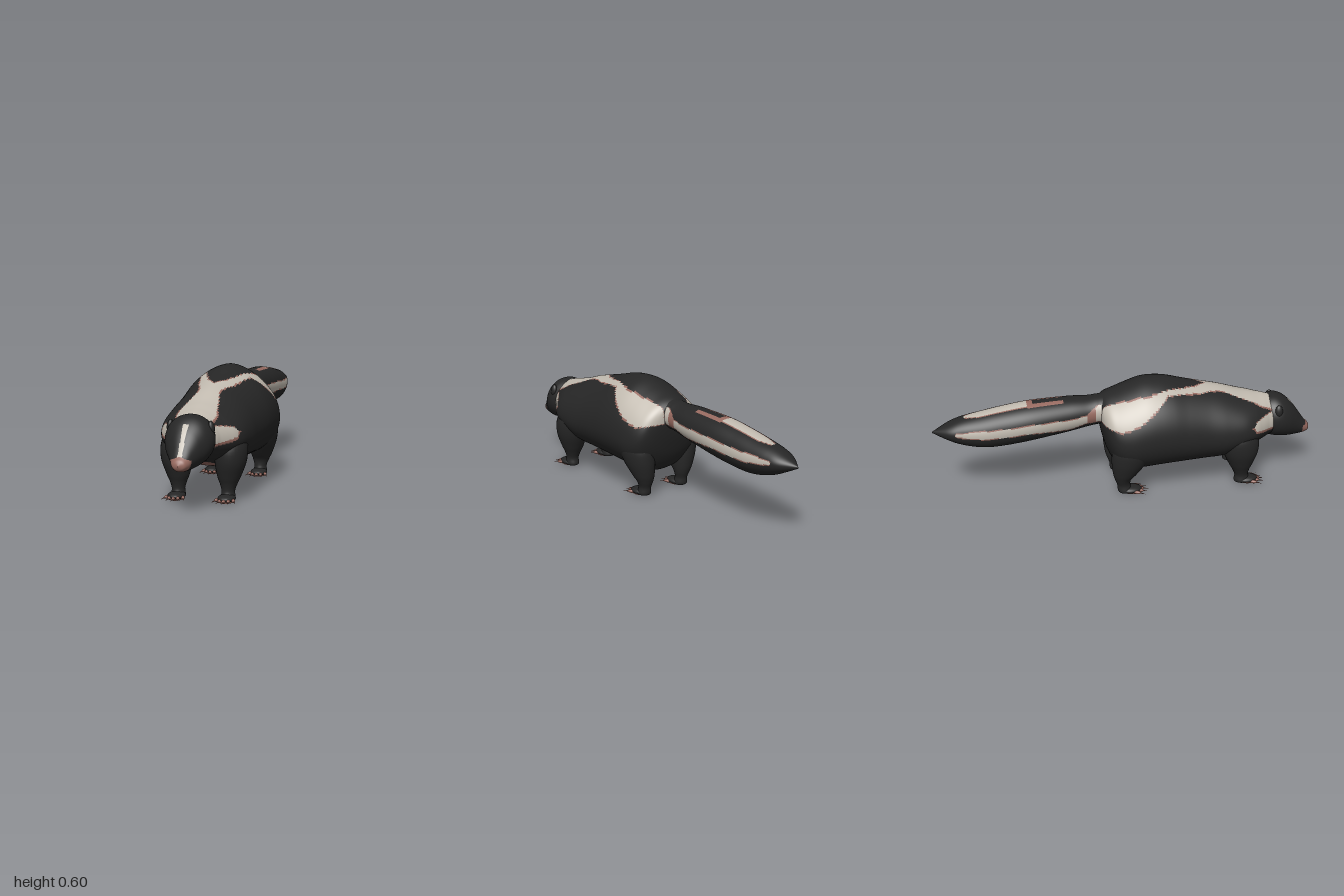
import * as THREE from 'three';

const mat = (name, color) => Object.assign(new THREE.MeshStandardMaterial({ color }), { name });

// Linear lookup in a short table of [key, value], keys descending
function lookup(table, k) {
  if (k >= table[0][0]) return table[0][1];
  for (let i = 1; i < table.length; i++) {
    const [k0, v0] = table[i - 1], [k1, v1] = table[i];
    if (k >= k1) return v1 + (v0 - v1) * (k - k1) / (k0 - k1);
  }
  return table[table.length - 1][1];
}

// Smooth interpolation between cross-section rows
function sample(rows, t) {
  const f = t * (rows.length - 1), i = Math.min(Math.floor(f), rows.length - 2), u = f - i;
  const at = (n) => rows[Math.max(0, Math.min(rows.length - 1, n))];
  return rows[0].map((_, c) => {
    const a = at(i - 1)[c], b = at(i)[c], d = at(i + 1)[c], e = at(i + 2)[c];
    return b + 0.5 * u * (d - a + u * (2 * a - 5 * b + 4 * d - e + u * (3 * (b - d) + e - a)));
  });
}

// Skin through cross-sections; colourOf(x, y, z) picks a material index per quad
function loft(rows, pointOf, rings, sides, colourOf = () => 0) {
  const pos = [], faces = [[], [], []];
  for (let i = 0; i <= rings; i++) {
    const row = sample(rows, i / rings);
    for (let j = 0; j < sides; j++) pos.push(...pointOf(row, (j / sides) * Math.PI * 2));
  }
  for (let i = 0; i < rings; i++) for (let j = 0; j < sides; j++) {
    const k = (j + 1) % sides;
    const q = [i * sides + j, i * sides + k, (i + 1) * sides + j, (i + 1) * sides + k];
    const mid = [0, 1, 2].map((c) => q.reduce((s, v) => s + pos[v * 3 + c], 0) / 4);
    faces[colourOf(...mid)].push(q[0], q[1], q[2], q[1], q[3], q[2]);
  }
  const g = new THREE.BufferGeometry();
  g.setAttribute('position', new THREE.Float32BufferAttribute(pos, 3));
  g.setIndex(faces.flat());
  let start = 0;
  faces.forEach((f, m) => { if (f.length) g.addGroup(start, f.length, m); start += f.length; });
  g.computeVertexNormals();
  return g;
}

// Section [z, top, bottom, halfWidth], listed front to back; taper narrows the upper half
const ringXY = (low, taper) => ([z, top, bottom, w], a) => {
  const s = Math.sin(a), c = Math.cos(a), cy = bottom + (top - bottom) * low;
  const sx = Math.sign(s) * Math.abs(s) ** (c > 0 ? taper : 1);
  return [Math.max(w, 0) * sx, cy + c * (c > 0 ? top - cy : cy - bottom), z];
};
// Section [y, x, z, radiusX, radiusZ]: level ring for the legs, listed upwards
const ringXZ = ([y, x, z, rx, rz], a) => [x + rx * Math.sin(a), y, z + rz * Math.cos(a)];

const BLACK = 0, WHITE = 1, PINK = 2;
const edge = (d, fringe) => (d < 0 ? WHITE : d < fringe ? PINK : BLACK);

// Body: white saddle that forks over the back, neck patches, pink belly spots
const saddleOuter = [[0.8, 0.08], [0.7, 0.095], [0.6, 0.075], [0.5, 0.052], [0.44, 0.06], [0.38, 0.085], [0.3, 0.102], [0.2, 0.13]];
const saddleInner = [[0.44, -0.02], [0.42, 0.0], [0.36, 0.045], [0.3, 0.07], [0.2, 0.1], [0.1, 0.132], [0, 0.118], [-0.08, 0.1], [-0.13, 0.085]];
const saddleLow = [[0.2, 0.545], [0.1, 0.472], [0.03, 0.422], [-0.06, 0.395], [-0.14, 0.41]];
const patchHalf = [[0.78, 0.042], [0.74, 0.038], [0.7, 0.032], [0.66, 0.022], [0.64, -0.01]];
const bellySpots = [[0.55, 0.065], [0.34, 0.06], [0.07, 0.07]];
function bodyColour(x, y, z) {
  const ax = Math.abs(x), fringe = Math.sin(z * 17 + 1) > -0.2 ? 0.008 : 0.003;
  if (y > 0.38) {
    const side = z > 0.2 ? ax - lookup(saddleOuter, z) : lookup(saddleLow, z) - y;
    const c = edge(Math.max(lookup(saddleInner, z) - ax, side), fringe);
    if (c !== BLACK) return c;
  }
  if (z > 0.63 && y > 0.27) {
    const dy = y - 0.348;
    return edge(Math.abs(dy) - lookup(patchHalf, z), dy < 0 ? 0.014 : 0.004);
  }
  const spot = bellySpots.some(([c, h]) => ((z - c) / h) ** 2 + (x / 0.047) ** 2 < 1);
  return y < 0.2 && spot ? PINK : BLACK;
}

// Head: pink snout and narrow forehead blaze
function headColour(x, y, z) {
  if (z > 0.953 && y < 0.282 - Math.abs(x) * 0.4) return PINK;
  return Math.abs(x) < 0.011 && z > 0.872 && y > 0.27 ? WHITE : BLACK;
}

// Tail: stripes along the top, the sides and the underside
const tailMid = [[-0.15, 0.45], [-0.22, 0.425], [-0.3, 0.405], [-0.5, 0.405], [-0.7, 0.388], [-0.9, 0.39]];
const tailHalf = [[-0.14, 0.045], [-0.18, 0.036], [-0.22, 0.02], [-0.3, 0.03], [-0.5, 0.022], [-0.75, 0.02], [-0.88, 0.008], [-0.9, -0.02]];
const topHalf = [[-0.5, 0.034], [-0.75, 0.034], [-0.83, 0.012], [-0.84, -0.01]];
const underHalf = [[-0.2, -0.01], [-0.26, 0.02], [-0.4, 0.036], [-0.75, 0.034], [-0.88, 0.012], [-0.9, -0.01]];
function tailColour(x, y, z) {
  const ax = Math.abs(x), mid = lookup(tailMid, z);
  if (y > mid + 0.045) {
    if (z < -0.52) return edge(ax - lookup(topHalf, z), 0.006);
    const fork = z < -0.33 && ax < 0.046 && (ax > 0.018 || z < -0.49);
    return fork ? PINK : BLACK;
  }
  if (y < mid - 0.035 && ax < 0.06) return edge(ax - lookup(underHalf, z), 0.008);
  if (ax < 0.03 || z > -0.13) return BLACK;
  const c = edge(Math.abs(y - mid) - lookup(tailHalf, z), 0.005);
  return c === WHITE && z > -0.21 && z < -0.17 ? PINK : c;
}

export function createModel() {
  const model = new THREE.Group();
  model.name = 'skunk';
  const black = mat('black fur', 0x262626), white = mat('white fur', 0xc2bbb0);
  const pink = mat('pink skin', 0x96695f), eyeMat = mat('eye black', 0x1a1a1a);
  const coat = [black, white, pink];
  const add = (name, geo, material, parent = model) => {
    const m = new THREE.Mesh(geo, material);
    m.name = name;
    parent.add(m);
    return m;
  };

  add('body', loft([
    [0.81, 0.4, 0.27, 0.0], [0.78, 0.438, 0.238, 0.098], [0.74, 0.453, 0.222, 0.13], [0.7, 0.462, 0.21, 0.16],
    [0.66, 0.472, 0.2, 0.187], [0.6, 0.487, 0.182, 0.21], [0.5, 0.52, 0.145, 0.22], [0.4, 0.545, 0.136, 0.222],
    [0.3, 0.57, 0.13, 0.23], [0.22, 0.592, 0.125, 0.237], [0.15, 0.601, 0.12, 0.24], [0.08, 0.597, 0.114, 0.24],
    [0, 0.57, 0.112, 0.235], [-0.06, 0.547, 0.145, 0.218], [-0.1, 0.533, 0.21, 0.188], [-0.125, 0.52, 0.29, 0.14],
    [-0.14, 0.505, 0.37, 0.08], [-0.145, 0.45, 0.44, 0],
  ], ringXY(0.43, 1.2), 160, 144, bodyColour), coat);

  add('head', loft([
    [1, 0.243, 0.238, 0], [0.99, 0.264, 0.22, 0.028], [0.97, 0.284, 0.21, 0.042], [0.94, 0.327, 0.205, 0.057],
    [0.9, 0.383, 0.203, 0.082], [0.86, 0.423, 0.205, 0.106], [0.82, 0.445, 0.21, 0.118], [0.78, 0.447, 0.217, 0.114],
    [0.74, 0.432, 0.235, 0.09], [0.71, 0.4, 0.28, 0.0],
  ], ringXY(0.5, 0.95), 90, 96, headColour), coat);

  add('tail', loft([
    [-0.06, 0.5, 0.39, 0.0], [-0.1, 0.52, 0.37, 0.08], [-0.15, 0.519, 0.365, 0.083], [-0.2, 0.515, 0.358, 0.086],
    [-0.3, 0.518, 0.338, 0.096], [-0.5, 0.51, 0.305, 0.109], [-0.65, 0.49, 0.287, 0.105], [-0.75, 0.472, 0.287, 0.098],
    [-0.85, 0.452, 0.31, 0.082], [-0.92, 0.426, 0.34, 0.06], [-1, 0.386, 0.38, 0],
  ], ringXY(0.5, 1), 120, 96, tailColour), coat);

  const ball = new THREE.SphereGeometry(1, 20, 14);
  const claw = new THREE.ConeGeometry(0.006, 0.045, 8).rotateX(Math.PI / 2 + 0.15);

  // Leg sections run from the ground up into the body
  const legs = {
    front: { foot: 0.632, rows: [
      [0.004, 0.125, 0.605, 0.0, 0.0], [0.012, 0.125, 0.605, 0.034, 0.04], [0.05, 0.125, 0.602, 0.032, 0.036], [0.085, 0.126, 0.598, 0.042, 0.047],
      [0.125, 0.128, 0.595, 0.058, 0.066], [0.2, 0.134, 0.59, 0.077, 0.094], [0.28, 0.13, 0.58, 0.08, 0.1], [0.36, 0.11, 0.56, 0.06, 0.07]] },
    hind: { foot: 0.005, rows: [
      [0.004, 0.125, -0.025, 0.0, 0.0], [0.012, 0.125, -0.025, 0.034, 0.035], [0.05, 0.125, -0.032, 0.032, 0.034], [0.085, 0.127, -0.036, 0.043, 0.043],
      [0.125, 0.132, -0.025, 0.058, 0.065], [0.2, 0.14, -0.002, 0.077, 0.096], [0.28, 0.142, 0.02, 0.082, 0.11], [0.36, 0.12, 0.03, 0.06, 0.08]] },
  };

  for (const [side, s] of [['left', 1], ['right', -1]]) {
    for (const [kind, { foot, rows }] of Object.entries(legs)) {
      const leg = new THREE.Group();
      leg.name = `${side} ${kind} leg`;
      model.add(leg);
      const mirrored = rows.map(([y, x, ...rest]) => [y, x * s, ...rest]);
      add('leg', loft(mirrored, ringXZ, 36, 32), black, leg);
      const paw = add('paw', ball, black, leg);
      paw.position.set(0.125 * s, 0.021, foot);
      paw.scale.set(0.043, 0.019, 0.058);
      const pad = add('paw pad', ball, pink, leg);
      pad.position.set(0.125 * s, 0.005, foot + 0.008);
      pad.scale.set(0.034, 0.004, 0.046);
      // Five fanned toes, each with a claw
      for (let i = -2; i <= 2; i++) {
        const turn = i * 0.22, tx = 0.125 * s + i * 0.0195, tz = foot + 0.05 - i * i * 0.006;
        const toe = add('toe', ball, pink, leg);
        toe.position.set(tx, 0.016, tz);
        toe.scale.set(0.009, 0.009, 0.022);
        toe.rotation.y = turn;
        const nail = add('claw', claw, pink, leg);
        nail.position.set(tx + Math.sin(turn) * 0.024, 0.014, tz + 0.024);
        nail.rotation.y = turn;
      }
    }
    const ear = add(`${side} ear`, ball, black);
    ear.position.set(0.1 * s, 0.39, 0.8);
    ear.scale.set(0.015, 0.032, 0.02);
    ear.rotation.z = 0.15 * s;
    const eye = add(`${side} eye`, ball, eyeMat);
    eye.position.set(0.06 * s, 0.305, 0.91);
    eye.scale.setScalar(0.01);
  }
  return model;
}
